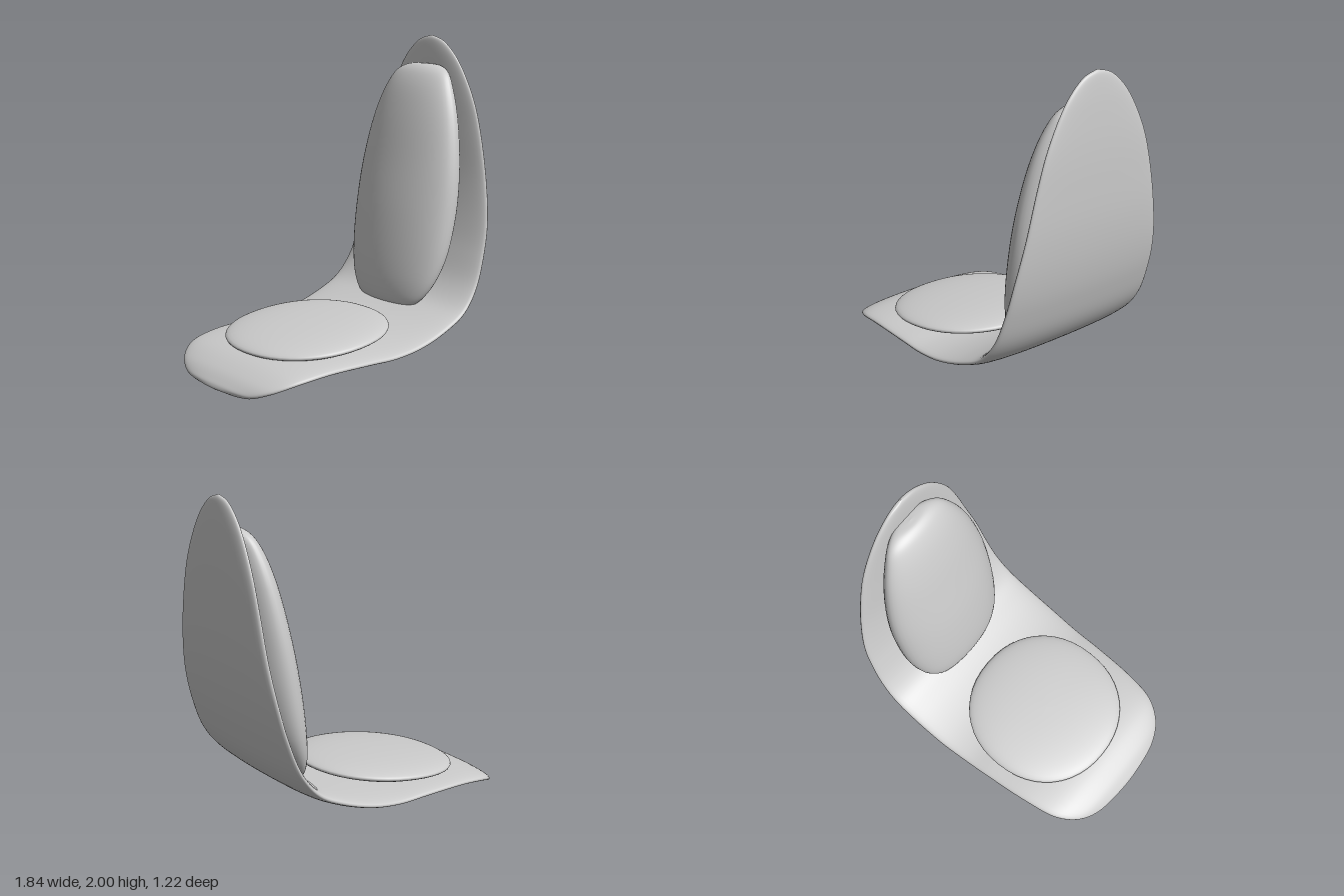
import * as THREE from 'three';

const RING = 48;
const material = new THREE.MeshStandardMaterial({ color: 0xcccccc });
const teal = new THREE.MeshStandardMaterial({ color: 0x006b6b });

// Smooth closed skin through rings; point(station, angle) gives each vertex.
function loft(stations, point) {
  const pos = [], index = [];
  stations.forEach((s, i) => {
    for (let j = 0; j < RING; j++) {
      pos.push(...point(s, (j / RING) * Math.PI * 2));
      if (i === stations.length - 1) continue;
      const a = i * RING + j, b = i * RING + ((j + 1) % RING);
      index.push(a, a + RING, b, b, a + RING, b + RING);
    }
  });
  const g = new THREE.BufferGeometry();
  g.setAttribute('position', new THREE.Float32BufferAttribute(pos, 3));
  g.setIndex(index);
  g.computeVertexNormals();
  return g;
}

const power = (v, e) => Math.sign(v) * Math.abs(v) ** e;

function smooth(points) {
  return new THREE.CatmullRomCurve3(points.map((p) => new THREE.Vector3(...p)));
}

// One-piece shell: centre line (x, y) and half width
function shellGeometry() {
  const curve = smooth([
    [-0.912, 0.008, 0], [-0.905, 0.018, 0.2], [-0.885, 0.035, 0.32], [-0.82, 0.082, 0.44],
    [-0.7, 0.13, 0.525], [-0.5, 0.155, 0.565], [-0.2, 0.155, 0.59], [0, 0.15, 0.6],
    [0.2, 0.175, 0.61], [0.42, 0.24, 0.61], [0.58, 0.32, 0.605], [0.69, 0.45, 0.595],
    [0.77, 0.65, 0.58], [0.82, 0.85, 0.56], [0.855, 1.1, 0.51], [0.87, 1.4, 0.44],
    [0.873, 1.6, 0.375], [0.87, 1.8, 0.27], [0.867, 1.9, 0.19], [0.865, 1.97, 0.1],
    [0.864, 2, 0],
  ]);
  const pts = curve.getPoints(120);
  const stations = pts.map((p, i) => {
    const a = pts[Math.max(i - 1, 0)], b = pts[Math.min(i + 1, pts.length - 1)];
    const n = new THREE.Vector2(a.y - b.y, b.x - a.x).normalize();
    const w = Math.max(p.z, 0);
    return { x: p.x, y: p.y, w, n, h: 0.047 * Math.sqrt(w / 0.61) };
  });
  return loft(stations, ({ x, y, w, n, h }, t) => {
    const d = h * power(Math.sin(t), 0.85);
    return [x + n.x * d, y + n.y * d, w * power(Math.cos(t), 0.9)];
  });
}

// Back cushion: height, front x, back x, half width
function backCushionGeometry() {
  const rows = [
    [0.27, 0.5, 0.5, 0], [0.285, 0.455, 0.53, 0.18], [0.32, 0.43, 0.56, 0.26],
    [0.42, 0.42, 0.64, 0.34], [0.6, 0.43, 0.74, 0.4], [0.9, 0.47, 0.82, 0.425],
    [1.2, 0.53, 0.848, 0.41], [1.5, 0.6, 0.862, 0.35], [1.68, 0.66, 0.865, 0.28],
    [1.77, 0.71, 0.865, 0.22], [1.81, 0.755, 0.86, 0.14], [1.82, 0.81, 0.81, 0],
  ];
  const fronts = smooth(rows.map(([y, f, , w]) => [f, y, w])).getPoints(66);
  const backs = smooth(rows.map(([y, , b, w]) => [b, y, w])).getPoints(66);
  const stations = fronts.map((p, i) => ({
    y: p.y, x: (p.x + backs[i].x) / 2, d: (backs[i].x - p.x) / 2, w: Math.max(p.z, 0),
  }));
  return loft(stations, ({ x, y, d, w }, t) => [x + d * Math.cos(t), y, w * Math.sin(t)]);
}

// Seat cushion: flattened, slightly squared disc
function seatCushionGeometry() {
  const stations = Array.from({ length: 25 }, (_, i) => (i / 24) * Math.PI);
  return loft(stations, (a, t) => {
    const r = Math.max(Math.sin(a), 0) ** 0.9;
    return [
      0.495 * r * power(Math.cos(t), 0.93),
      -0.061 * Math.cos(a),
      0.5 * r * power(Math.sin(t), 0.93),
    ];
  });
}

export function createModel() {
  const model = new THREE.Group();
  model.name = 'seatShellWithCushions';
  const add = (name, geometry, mat = material) => {
    const mesh = new THREE.Mesh(geometry, mat);
    mesh.name = name;
    model.add(mesh);
    return mesh;
  };

  add('shell', shellGeometry());
  add('backCushion', backCushionGeometry());

  const seat = add('seatCushion', seatCushionGeometry());
  seat.position.set(-0.2, 0.236, 0);
  seat.rotation.z = 0.085;

  // Mounting boss and coloured plate under the seat
  add('mountRing', new THREE.CylinderGeometry(0.21, 0.16, 0.04, 48)).position.set(-0.26, 0.103, 0);
  add('mountPlate', new THREE.CylinderGeometry(0.15, 0.15, 0.02, 48), teal).position.set(-0.26, 0.09, 0);

  return model;
}
